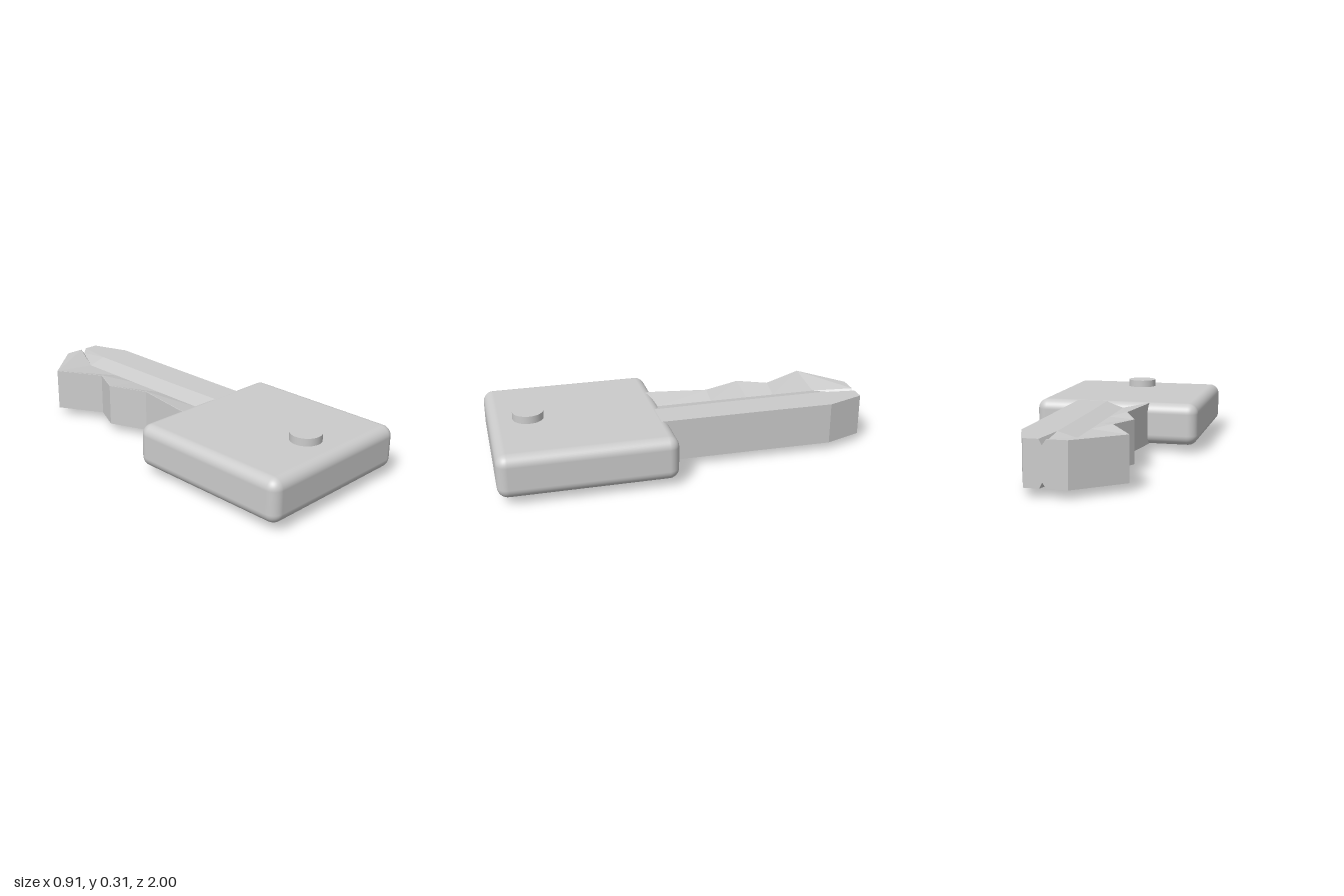
import * as THREE from 'three';
import { RoundedBoxGeometry } from 'three/addons/geometries/RoundedBoxGeometry.js';

const MID = 0.154;   // height of the middle plane
const HALF = 0.114;  // half thickness of head and blade

// Blade lofted through cross-sections, with a V groove on both faces.
// Each station: z, left edge, left groove lip, groove bottom, rail edge, right edge
function bladeGeometry() {
  const stations = [
    [-1.0, -0.06, 0.04, 0.06, 0.075, 0.15],
    [-0.8, -0.29, -0.285, -0.045, 0.05, 0.225],
    [-0.565, -0.155, -0.15, -0.045, 0.05, 0.223],
    [-0.41, -0.225, -0.22, -0.045, 0.05, 0.222],
    [-0.205, -0.14, -0.135, -0.045, 0.05, 0.222],
    [0.1, -0.185, -0.18, -0.045, 0.055, 0.222],
    [0.3, -0.185, -0.18, -0.045, 0.055, 0.222],
  ];
  const depth = 0.028;
  const h = HALF - 0.001;
  const rings = stations.map(([z, ...xs]) => {
    const top = xs.map((x, i) => [x, h - (i === 2 ? depth : 0), z]);
    const bottom = top.map(([x, y]) => [x, -y, z]).reverse();
    return [...top, ...bottom];
  });
  const pos = [];
  const quad = (a, b, c, d) => pos.push(...a, ...b, ...c, ...a, ...c, ...d);
  for (let k = 0; k < rings.length - 1; k++) {
    for (let i = 0; i < 10; i++) {
      const j = (i + 1) % 10;
      quad(rings[k][i], rings[k + 1][i], rings[k + 1][j], rings[k][j]);
    }
  }
  // End faces, filled in columns from top to bottom
  const tip = rings[0], root = rings[rings.length - 1];
  for (let i = 0; i < 4; i++) {
    quad(tip[i], tip[i + 1], tip[8 - i], tip[9 - i]);
    quad(root[i], root[9 - i], root[8 - i], root[i + 1]);
  }
  const geo = new THREE.BufferGeometry();
  geo.setAttribute('position', new THREE.Float32BufferAttribute(pos, 3));
  geo.computeVertexNormals();
  return geo;
}

export function createModel() {
  const group = new THREE.Group();
  group.name = 'key';
  const material = new THREE.MeshStandardMaterial({ color: 0xcccccc });
  const add = (name, geometry, z) => {
    const mesh = new THREE.Mesh(geometry, material);
    mesh.name = name;
    mesh.position.set(0, MID, z);
    group.add(mesh);
  };

  // Rounded square head
  add('head', new RoundedBoxGeometry(0.91, 2 * HALF, 0.91, 5, 0.055), 0.545);
  // Pin passing through the head
  add('pin', new THREE.CylinderGeometry(0.081, 0.081, 2 * MID, 32), 0.795);
  // Toothed, grooved blade
  add('blade', bladeGeometry(), 0);

  return group;
}
